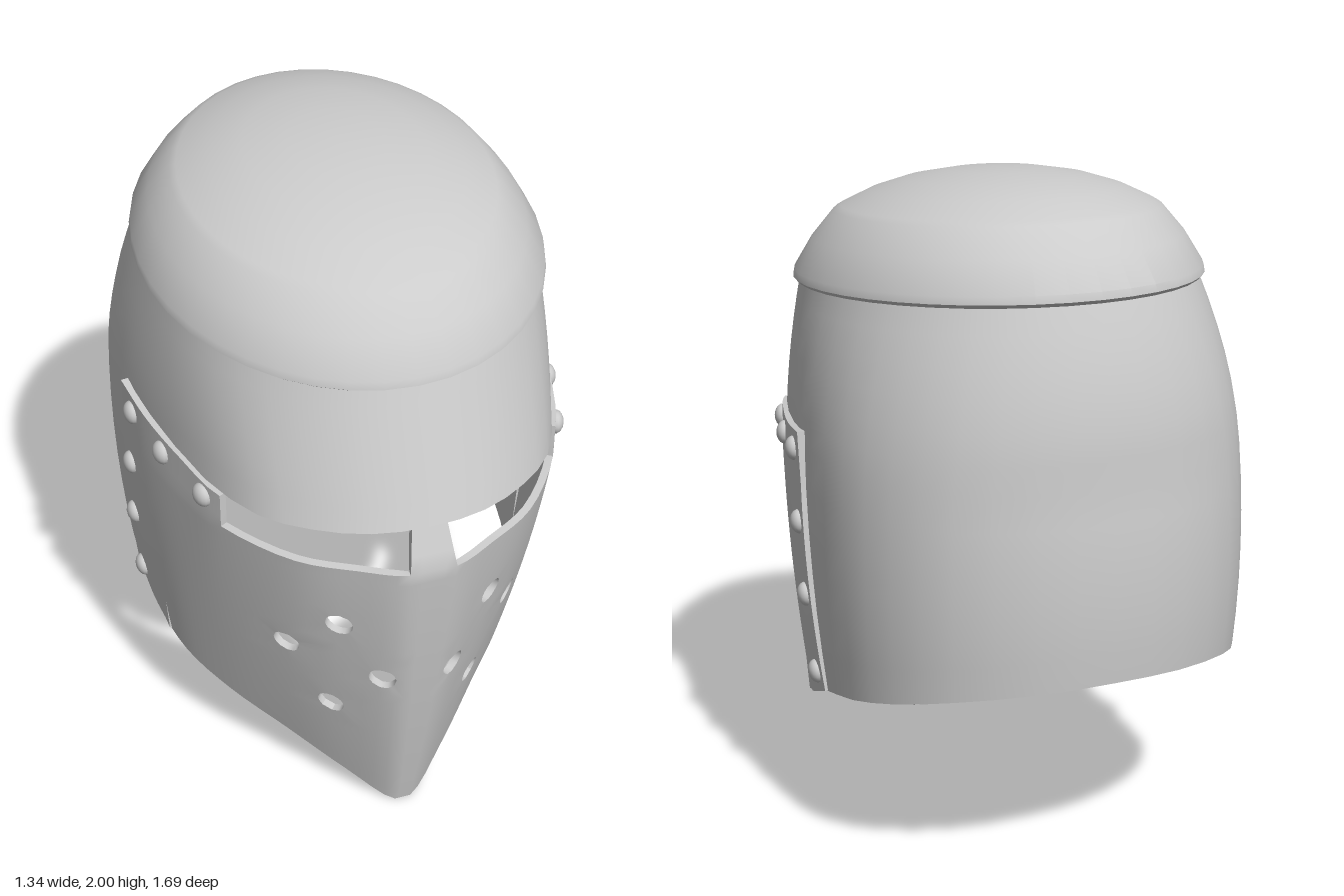
import * as THREE from 'three';
import { toCreasedNormals } from 'three/addons/utils/BufferGeometryUtils.js';

const V = (p) => new THREE.Vector3(...p);
const mirror = ([x, y, z]) => [-x, y, z];
const material = new THREE.MeshStandardMaterial({ color: 0xcccccc });

// Sheet with thickness over a grid at(i, j); cells may be left out, round holes cut,
// and every open edge is closed with a wall.
function sheet({ at, cols, rows, closed, keep, holes = [], radius, thickness }) {
  const pts = [], ids = new Map(), quads = [];
  const add = (p) => pts.push(p) - 1;
  const grid = (i, j) => {
    if (closed) i = (i + cols) % cols;
    const key = i + ',' + j;
    if (!ids.has(key)) ids.set(key, add(at(i, j)));
    return ids.get(key);
  };
  const inHole = (i, j) => holes.some((h) => Math.abs(i + 0.5 - h.ci) < 2 && Math.abs(j + 0.5 - h.cj) < 2);
  for (let i = 0; i < cols; i++) for (let j = 0; j < rows; j++) {
    if (keep(i, j) && !inHole(i, j)) quads.push([grid(i, j), grid(i + 1, j), grid(i + 1, j + 1), grid(i, j + 1)]);
  }
  for (const h of holes) {
    const rim = [];
    for (let k = 0; k < 4; k++) rim.push([k - 2, -2]);
    for (let k = 0; k < 4; k++) rim.push([2, k - 2]);
    for (let k = 0; k < 4; k++) rim.push([2 - k, 2]);
    for (let k = 0; k < 4; k++) rim.push([-2, 2 - k]);
    const outer = rim.map(([a, b]) => grid(h.ci + a, h.cj + b));
    const inner = outer.map((o) => add(pts[o].clone().sub(h.point).setLength(radius).add(h.point)));
    outer.forEach((o, k) => {
      const n = (k + 1) % outer.length;
      quads.push([o, outer[n], inner[n], inner[k]]);
    });
  }
  const tris = (q) => [q[0], q[1], q[2], q[0], q[2], q[3]];
  const skin = new THREE.BufferGeometry().setFromPoints(pts);
  skin.setIndex(quads.flatMap(tris));
  skin.computeVertexNormals();
  const normals = skin.attributes.normal, n = pts.length;
  const back = pts.map((p, k) => p.clone().addScaledVector(new THREE.Vector3().fromBufferAttribute(normals, k), -thickness));
  const edges = new Set();
  quads.forEach((q) => q.forEach((a, k) => edges.add(a + ',' + q[(k + 1) % 4])));
  const faces = quads.flatMap((q) => [...tris(q), ...tris([...q].reverse().map((a) => a + n))]);
  for (const e of edges) {
    const [a, b] = e.split(',').map(Number);
    if (!edges.has(b + ',' + a)) faces.push(...tris([a, a + n, b + n, b]));
  }
  const geo = new THREE.BufferGeometry().setFromPoints([...pts, ...back]);
  geo.setIndex(faces);
  geo.computeVertexNormals();
  return toCreasedNormals(geo, 0.6);
}

// Blend from one curve point to another with an outward bulge
function blend(a, b, t, bulge) {
  const p = a.clone().lerp(b, t), s = 1 + bulge * 4 * t * (1 - t);
  return p.set(p.x * s, p.y, p.z * s);
}

function named(geo, name) {
  const mesh = new THREE.Mesh(geo, material);
  mesh.name = name;
  return mesh;
}

// Skull shell: three rings from front to back, mirrored; the front stops at the eye slit
function skullShell() {
  const mid = [[0, 1.245, 0.81], [0.165, 1.242, 0.785], [0.31, 1.237, 0.71], [0.43, 1.232, 0.6],
    [0.525, 1.23, 0.4], [0.603, 1.235, 0.1], [0.635, 1.235, -0.13], [0.62, 1.235, -0.37],
    [0.545, 1.235, -0.545], [0.42, 1.235, -0.69], [0.22, 1.235, -0.79], [0, 1.235, -0.82]];
  const low = [...mid.slice(0, 4).map(([x, , z]) => [x, 0.3, z - 0.1]), [0.52, 0.31, 0.3],
    [0.585, 0.395, 0.08], [0.607, 0.48, -0.13], [0.605, 0.545, -0.37],
    [0.545, 0.595, -0.55], [0.425, 0.64, -0.7], [0.22, 0.67, -0.81], [0, 0.68, -0.84]];
  const top = mid.map((_, k) => {
    const a = (Math.PI * k) / 11, z = -0.02 + 0.68 * Math.cos(a);
    return [0.565 * Math.sin(a), 1.69 - 0.08 * z, z];
  });
  const ring = (h) => new THREE.CatmullRomCurve3([...h, ...h.slice(1, -1).reverse().map(mirror)].map(V), true);
  const [L, M, T] = [low, mid, top].map(ring);
  const cols = 44, lower = 6, upper = 6;
  const at = (i, j) => {
    const u = i / cols, rear = (1 - Math.cos(2 * Math.PI * u)) / 2;
    return j <= lower ? blend(L.getPoint(u), M.getPoint(u), j / lower, 0.02)
      : blend(M.getPoint(u), T.getPoint(u), (j - lower) / upper, 0.04 * rear);
  };
  const keep = (i, j) => j >= lower || (i >= 10 && i < 34);
  return named(sheet({ at, cols, rows: lower + upper, closed: true, keep, thickness: 0.022 }), 'skullShell');
}

// Face plate with nose ridge, eye slits, breathing holes and rivets
function facePlate() {
  const low = [[0.025, 0, 0.645], [0.16, 0.09, 0.55], [0.31, 0.19, 0.415], [0.45, 0.28, 0.285],
    [0.55, 0.355, 0.15], [0.6, 0.425, -0.01], [0.617, 0.49, -0.16]];
  const mid = [[0.068, 1.11, 0.84], [0.2, 1.11, 0.775], [0.35, 1.11, 0.68], [0.505, 1.115, 0.48],
    [0.575, 1.115, 0.3], [0.625, 1.115, 0.1], [0.648, 1.115, -0.085]];
  const top = [[0.05, 1.25, 0.79], [0.2, 1.24, 0.77], [0.35, 1.235, 0.67], [0.505, 1.225, 0.48],
    [0.57, 1.24, 0.3], [0.622, 1.255, 0.1], [0.65, 1.275, -0.07]];
  const cols = 52, lower = 26, upper = 3, rows = lower + upper;
  const [L, M, T] = [low, mid, top].map((h) => {
    const curve = new THREE.CatmullRomCurve3([...h.map(mirror).reverse(), ...h].map(V));
    // the nose ridge between the two middle points is flat
    return (i) => {
      const c = i - cols / 2;
      return Math.abs(c) <= 2 ? V([(h[0][0] * c) / 2, h[0][1], h[0][2]]) : curve.getPoint(i / cols);
    };
  });
  const at = (i, j) => (j <= lower ? blend(L(i), M(i), j / lower, 0.02) : blend(M(i), T(i), (j - lower) / upper, 0));
  const keep = (i, j) => {
    const c = Math.abs(i + 0.5 - cols / 2);
    return j < lower || c < 2 || c > 14;
  };

  // Nearest place on the left half of the plate, by height and one other axis
  const find = (axis, value, y) => {
    let best = { d: Infinity };
    for (let i = cols / 2; i <= cols; i += 0.2) for (let j = 0; j <= rows; j += 0.2) {
      const point = at(i, j), d = Math.hypot(point[axis] - value, point.y - y);
      if (d < best.d) best = { d, i, j, point };
    }
    return best;
  };

  const holes = [];
  for (const [x, y] of [[0.228, 0.86], [0.345, 0.7], [0.11, 0.64], [0.22, 0.45]]) {
    const f = find('x', x, y), ci = Math.round(f.i), cj = Math.round(f.j);
    holes.push({ ci, cj, point: f.point }, { ci: cols - ci, cj, point: f.point.clone().setX(-f.point.x) });
  }
  const group = new THREE.Group();
  group.name = 'facePlateAssembly';
  group.add(named(sheet({ at, cols, rows, keep, holes, radius: 0.042, thickness: 0.022 }), 'facePlate'));

  const rivetGeo = new THREE.SphereGeometry(0.036, 16, 10).scale(1, 1, 0.7);
  for (const [z, y] of [[0.405, 1.18], [0.2, 1.19], [0, 1.205], [-0.04, 0.99], [-0.065, 0.77], [-0.095, 0.53]]) {
    const { i, j, point } = find('z', z, y);
    const across = at(Math.min(i + 0.3, cols), j).sub(at(i - 0.3, j));
    const up = at(i, Math.min(j + 0.3, rows)).sub(at(i, j - 0.3));
    const normal = across.cross(up).normalize();
    for (const s of [1, -1]) {
      const rivet = named(rivetGeo, s > 0 ? 'leftRivet' : 'rightRivet');
      rivet.position.set(s * point.x, point.y, point.z);
      rivet.quaternion.setFromUnitVectors(V([0, 0, 1]), V([s * normal.x, normal.y, normal.z]));
      group.add(rivet);
    }
  }
  return group;
}

// Cap: sloping band and shallow dome, stretched to an oval and tilted forward
function cap() {
  const profile = [[0.552, 1.677], [0.576, 1.675], [0.587, 1.686], [0.583, 1.708], [0.53, 1.798], [0.465, 1.878],
    [0.445, 1.89], [0.36, 1.932], [0.26, 1.964], [0.14, 1.985], [0, 1.992],
    [0, 1.97], [0.25, 1.942], [0.43, 1.87], [0.51, 1.79], [0.552, 1.677]];
  const geo = new THREE.LatheGeometry(profile.map((p) => new THREE.Vector2(...p)), 40);
  const p = geo.attributes.position;
  for (let k = 0; k < p.count; k++) {
    const z = p.getZ(k) * 1.2 - 0.02;
    p.setXYZ(k, p.getX(k), p.getY(k) - 0.08 * z, z);
  }
  return named(toCreasedNormals(geo, 0.45), 'cap');
}

export function createModel() {
  const model = new THREE.Group();
  model.name = 'helmet';
  model.add(skullShell(), facePlate(), cap());
  return model;
}
